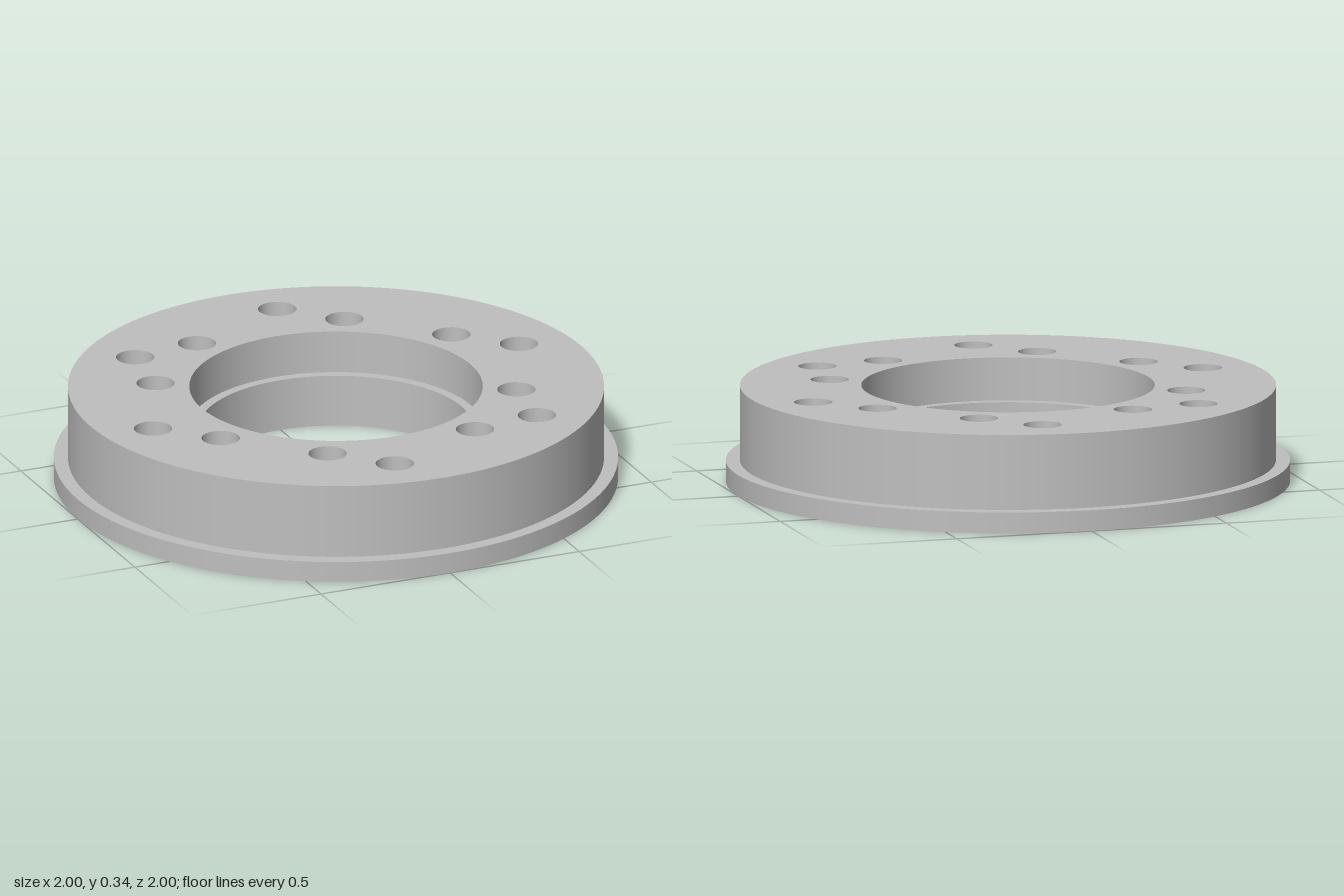
import * as THREE from 'three';

const H = 0.345, FLANGE = 0.075, LEDGE = 0.19;      // heights
const R_FLANGE = 1, R_BODY = 0.95, R_BORE = 0.485, R_COUNTERBORE = 0.52;
const R_HOLE = 0.068, R_HEX = 0.125, POCKET = 0.19; // bolt holes and nut pockets
const SEG = 128, HOLE_SEG = 32;

// Hole positions: angle in degrees from +x towards -z, and pitch radius
const place = (pitch) => (deg) => {
  const a = THREE.MathUtils.degToRad(deg);
  return { a, x: pitch * Math.cos(a), z: -pitch * Math.sin(a) };
};
const innerHoles = [26.5, 63.5, 116.5, 153.5, 206.5, 243.5, 296.5, 333.5].map(place(0.64));
const outerHoles = [8, 82, 135, 188, 262, 315].map(place(0.763));

// Regular polygon outline in plan (shape y = -z), with a corner at angle a
function ring(r, n, x = 0, z = 0, a = 0) {
  const pts = [];
  for (let i = 0; i < n; i++) {
    const t = a + (i / n) * Math.PI * 2;
    pts.push(new THREE.Vector2(x + r * Math.cos(t), -z + r * Math.sin(t)));
  }
  return pts;
}

// Flat plate face with openings, facing up or down
function face(outline, openings, y, up) {
  const flip = (pts) => (up ? pts : pts.map((p) => new THREE.Vector2(p.x, -p.y)));
  const shape = new THREE.Shape(flip(outline));
  openings.forEach((o) => shape.holes.push(new THREE.Path(flip(o))));
  const g = new THREE.ShapeGeometry(shape);
  g.rotateX(up ? -Math.PI / 2 : Math.PI / 2);
  return g.translate(0, y, 0);
}

// Surface of revolution between two profile points; upward faces out, downward faces in
function band(r0, y0, r1, y1, seg = SEG) {
  return new THREE.LatheGeometry([new THREE.Vector2(r0, y0), new THREE.Vector2(r1, y1)], seg);
}

export function createModel() {
  const model = new THREE.Group();
  const grey = new THREE.MeshStandardMaterial({ color: 0xbfbfbf });
  grey.name = 'plain grey';
  const add = (name, geometry, parent = model) => {
    const mesh = new THREE.Mesh(geometry, grey);
    mesh.name = name;
    parent.add(mesh);
    return mesh;
  };

  // Outer walls, flange step and stepped bore
  add('flangeRim', band(R_FLANGE, 0, R_FLANGE, FLANGE));
  add('flangeStep', band(R_FLANGE, FLANGE, R_BODY, FLANGE));
  add('bodyWall', band(R_BODY, FLANGE, R_BODY, H));
  add('counterboreWall', band(R_COUNTERBORE, H, R_COUNTERBORE, LEDGE));
  add('boreLedge', band(R_COUNTERBORE, LEDGE, R_BORE, LEDGE));
  add('boreWall', band(R_BORE, LEDGE, R_BORE, 0));

  // Top and bottom faces
  const round = (h) => ring(R_HOLE, HOLE_SEG, h.x, h.z, h.a);
  const hex = (h) => ring(R_HEX, 6, h.x, h.z, h.a);
  add('topFace', face(ring(R_BODY, SEG),
    [ring(R_COUNTERBORE, SEG), ...innerHoles.map(round), ...outerHoles.map(round)], H, true));
  add('bottomFace', face(ring(R_FLANGE, SEG),
    [ring(R_BORE, SEG), ...innerHoles.map(round), ...outerHoles.map(hex)], 0, false));

  // Plain through holes
  for (const h of innerHoles) {
    const wall = add('throughHole', band(R_HOLE, H, R_HOLE, 0, HOLE_SEG));
    wall.position.set(h.x, 0, h.z);
    wall.rotation.y = h.a + Math.PI / 2;
  }

  // Bolt holes opening into hexagonal nut pockets underneath
  for (const h of outerHoles) {
    const bolt = new THREE.Group();
    bolt.name = 'boltHole';
    bolt.position.set(h.x, 0, h.z);
    bolt.rotation.y = h.a;
    model.add(bolt);
    add('boltHoleWall', band(R_HOLE, H, R_HOLE, POCKET, HOLE_SEG), bolt).rotation.y = Math.PI / 2;
    const walls = band(R_HEX, POCKET, R_HEX, 0, 6).toNonIndexed();
    walls.computeVertexNormals();
    add('nutPocketWall', walls, bolt).rotation.y = Math.PI / 2;
    add('nutPocketSeat', face(ring(R_HEX, 6), [ring(R_HOLE, HOLE_SEG)], POCKET, false), bolt);
  }
  return model;
}
